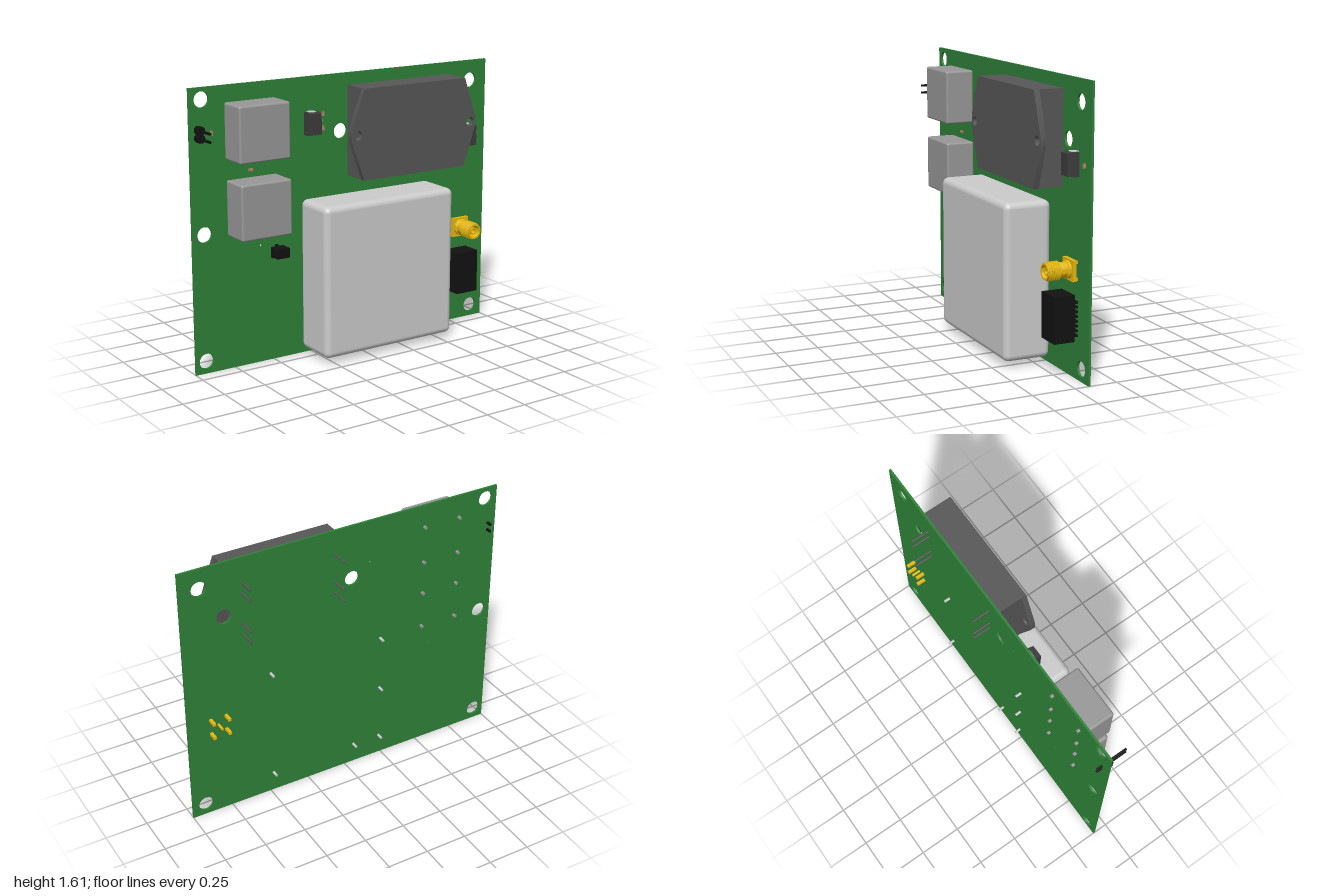
import * as THREE from 'three';
import { RoundedBoxGeometry } from 'three/addons/geometries/RoundedBoxGeometry.js';
import { toCreasedNormals } from 'three/addons/utils/BufferGeometryUtils.js';

const mat = (color) => new THREE.MeshStandardMaterial({ color });
const BACK = -0.092, FACE = -0.079; // the two sides of the board

export function createModel() {
  const root = new THREE.Group();
  const green = mat(0x2f8239), silver = mat(0xcccccc), grey = mat(0x989898), dark = mat(0x575757);
  const charcoal = mat(0x3c3c3c), black = mat(0x121212), gold = mat(0xe6b80f), copper = mat(0xc07a4a);

  function add(name, geometry, material, parent = root) {
    const mesh = new THREE.Mesh(geometry, material);
    mesh.name = name;
    parent.add(mesh);
    return mesh;
  }
  function group(name) {
    const g = new THREE.Group();
    g.name = name;
    root.add(g);
    return g;
  }
  // Box given by its limits on each axis
  function box(name, x0, x1, y0, y1, z0, z1, material, parent, radius = 0) {
    const size = [x1 - x0, y1 - y0, z1 - z0];
    const geo = radius ? new RoundedBoxGeometry(...size, 4, radius) : new THREE.BoxGeometry(...size);
    geo.translate((x0 + x1) / 2, (y0 + y1) / 2, (z0 + z1) / 2);
    return add(name, geo, material, parent);
  }
  // Round pin running along z
  function pin(name, x, y, z0, z1, r, material, parent) {
    const geo = new THREE.CylinderGeometry(r, r, z1 - z0, 12).rotateX(Math.PI / 2);
    geo.translate(x, y, (z0 + z1) / 2);
    return add(name, geo, material, parent);
  }
  // Polygon with round holes [x, y, r], extruded along z
  function plate(name, points, holes, z0, z1, material, parent) {
    const shape = new THREE.Shape(points.map((p) => new THREE.Vector2(...p)));
    for (const [x, y, r] of holes) {
      const hole = new THREE.Path();
      hole.absarc(x, y, r, 0, Math.PI * 2, true);
      shape.holes.push(hole);
    }
    const geo = new THREE.ExtrudeGeometry(shape, { depth: z1 - z0, bevelEnabled: false, curveSegments: 20 });
    return add(name, toCreasedNormals(geo.translate(0, 0, z0), 0.6), material, parent);
  }

  // Circuit board with mounting, module and via holes
  plate('board', [[-1, 0], [1, 0], [1, 1.613], [-1, 1.613]], [
    [-0.924, 1.547, 0.044], [0.882, 1.493, 0.044], [-0.924, 0.8, 0.044],
    [-0.932, 0.072, 0.044], [0.916, 0.072, 0.044],
    [-0.043, 1.283, 0.044], [0.747, 1.283, 0.044],
    [-0.162, 1.354, 0.007], [-0.574, 0.687, 0.007],
  ], BACK, FACE, green);

  // Large rounded metal can with pins through the board
  const can = group('metalCan');
  box('canBody', -0.318, 0.565, 0.036, 0.922, -0.077, 0.2, silver, can, 0.036);
  for (const [x, y] of [[0.478, 0.825], [-0.235, 0.825], [-0.235, 0.477], [0.478, 0.125], [-0.06, 0.125], [-0.235, 0.125]])
    pin('canPin', x, y, -0.128, -0.07, 0.008, silver, can);

  // Power module: block with a pointed front flange
  const power = group('powerModule');
  box('moduleBody', 0, 0.705, 1.02, 1.545, -0.068, 0.075, dark, power);
  plate('moduleFlange', [
    [0, 1.02], [0.705, 1.02], [0.785, 1.25], [0.785, 1.315],
    [0.705, 1.545], [0, 1.545], [-0.085, 1.315], [-0.085, 1.25],
  ], [[-0.043, 1.283, 0.027], [0.747, 1.283, 0.027]], 0.073, 0.105, dark, power);
  const modulePins = [[0.637, [1.468, 1.4, 1.207, 1.139]], [0.066, [1.468, 1.293, 1.224]]];
  for (const [x, ys] of modulePins)
    for (const y of ys) pin('modulePin', x, y, -0.2, -0.06, 0.006, dark, power);

  // Two square inductors with four short pins each
  for (const [x, y] of [[-0.79, 1.205], [-0.785, 0.775]]) {
    const inductor = group('inductor');
    box('inductorBody', x, x + 0.315, y, y + 0.315, FACE, 0.095, grey, inductor, 0.012);
    for (const px of [-0.745, -0.515])
      for (const py of [y + 0.045, y + 0.27]) pin('inductorPin', px, py, -0.109, FACE, 0.01, grey, inductor);
  }

  // Two surface-mount diodes, tapered towards the front, with end tabs
  for (const [x, y] of [[-0.25, 1.352], [0.848, 1.168]]) {
    const diode = group('diode');
    const geo = new THREE.BoxGeometry(0.08, 0.13, 0.068, 1, 1, 2);
    const p = geo.attributes.position;
    for (let i = 0; i < p.count; i++)
      if (p.getZ(i) > 0.01) { p.setX(i, p.getX(i) * 0.86); p.setY(i, p.getY(i) * 0.92); }
    geo.computeVertexNormals();
    add('diodeBody', geo, charcoal, diode).position.set(x, y, -0.036);
    for (const s of [-1, 1]) {
      const ty = y + s * 0.064;
      box('diodeTab', x - 0.021, x + 0.021, ty - 0.004, ty + 0.004, -0.077, -0.034, silver, diode);
    }
  }

  // Small three-lead transistor
  const transistor = group('transistor');
  box('transistorBody', -0.515, -0.435, 0.614, 0.67, -0.072, 0.002, black, transistor);
  for (const [x, y] of [[-0.5, 0.61], [-0.45, 0.61], [-0.475, 0.674]])
    box('transistorLead', x - 0.008, x + 0.008, y - 0.006, y + 0.006, FACE, -0.066, black, transistor);

  // Two-pin header
  const header = group('pinHeader');
  for (const y of [1.385, 1.341]) {
    plate('headerBlock', [
      [-0.971, y - 0.011], [-0.96, y - 0.022], [-0.938, y - 0.022], [-0.927, y - 0.011],
      [-0.927, y + 0.011], [-0.938, y + 0.022], [-0.96, y + 0.022], [-0.971, y + 0.011],
    ], [], FACE, -0.036, black, header);
    box('headerPin', -0.955, -0.943, y - 0.006, y + 0.006, -0.126, 0.065, black, header);
  }

  // Black socket with a row of leads on both sides
  const socket = group('socket');
  box('socketBody', 0.714, 0.864, 0.208, 0.465, -0.066, 0.055, black, socket);
  for (let i = 0; i < 8; i++) {
    const y = 0.245 + i * 0.026;
    box('socketLeads', 0.703, 0.876, y - 0.006, y + 0.006, FACE, -0.062, black, socket);
  }

  // Threaded coaxial connector facing forward
  const coax = group('coaxConnector');
  const cx = 0.812, cy = 0.597;
  box('coaxFlange', cx - 0.058, cx + 0.058, cy - 0.058, cy + 0.058, -0.07, -0.048, gold, coax);
  const profile = [[0, -0.05], [0.05, -0.05], [0.05, -0.035], [0.042, -0.03], [0.042, 0.012]];
  for (let i = 0; i < 5; i++) {
    const z = 0.014 + i * 0.014;
    profile.push([0.052, z], [0.052, z + 0.005], [0.044, z + 0.009]);
  }
  profile.push([0.046, 0.09], [0.036, 0.09], [0.034, 0.03], [0.022, 0.03], [0.022, 0.08], [0.014, 0.08], [0.012, 0.03], [0, 0.03]);
  const lathe = new THREE.LatheGeometry(profile.map((q) => new THREE.Vector2(...q)), 32).rotateX(Math.PI / 2);
  const barrelMat = mat(0xe6b80f);
  barrelMat.side = THREE.DoubleSide;
  add('coaxBarrel', toCreasedNormals(lathe, 0.5), barrelMat, coax).position.set(cx, cy, 0);
  pin('coaxCentrePin', cx, cy, -0.145, -0.05, 0.008, gold, coax);
  for (const sx of [-1, 1])
    for (const sy of [-1, 1]) {
      const x = cx + sx * 0.047, y = cy + sy * 0.046;
      box('coaxLeg', x - 0.009, x + 0.009, y - 0.008, y + 0.008, -0.145, -0.05, gold, coax);
    }

  // Tiny chip components: body with copper ends
  const chips = [[-0.87, 1.36, 0], [-0.388, 1.375, 0], [-0.162, 1.394, 0], [-0.162, 1.312, 0],
    [-0.634, 1.13, 1], [0.933, 1.168, 0], [0.67, 0.397, 1]];
  for (const [x, y, turned] of chips) {
    const chip = group('chip');
    box('chipBody', -0.006, 0.006, -0.006, 0.006, -0.006, 0.006, grey, chip);
    for (const s of [-1, 1])
      box('chipEnd', -0.0065, 0.0065, s * 0.009 - 0.004, s * 0.009 + 0.004, -0.0065, 0.0065, copper, chip);
    chip.position.set(x, y, FACE + 0.006);
    chip.rotation.z = turned * Math.PI / 2;
  }
  return root;
}
